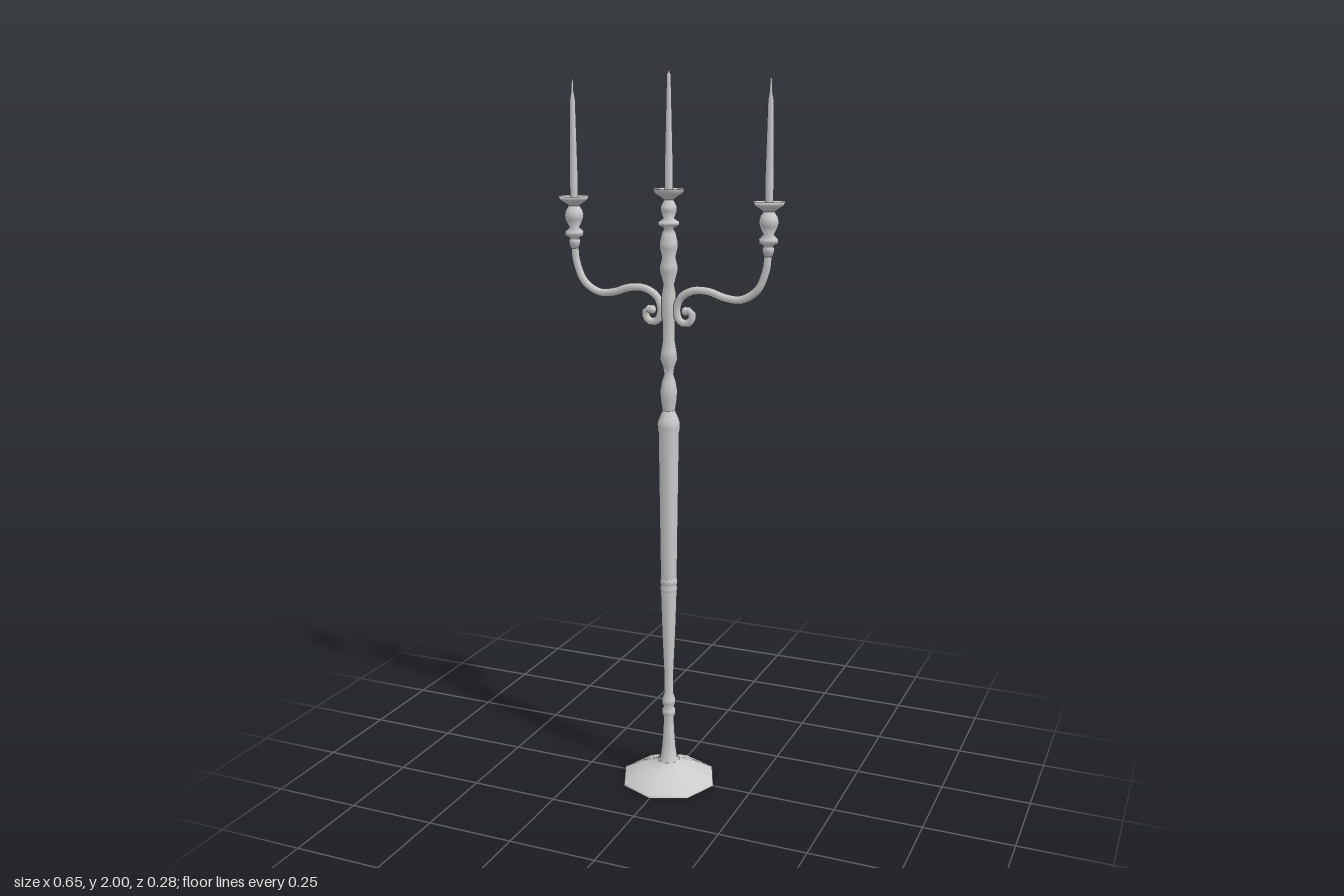
import * as THREE from 'three';

export function createModel() {
  const root = new THREE.Group();
  const material = new THREE.MeshStandardMaterial({ color: 0xcccccc, side: THREE.DoubleSide });

  const add = (parent, name, geometry) => {
    const mesh = new THREE.Mesh(geometry, material);
    mesh.name = name;
    parent.add(mesh);
    return mesh;
  };
  // Eight-sided turned part from [radius, height] pairs, bottom to top
  const turned = (parent, name, points) =>
    add(parent, name, new THREE.LatheGeometry(points.map(([r, y]) => new THREE.Vector2(r, y)), 8));

  // Foot: flat underside, shallow rim and dome
  turned(root, 'footUnderside', [[0, 0], [0.14, 0]]);
  turned(root, 'foot', [[0.14, 0], [0.138, 0.008], [0.095, 0.03], [0.06, 0.044], [0.036, 0.054], [0.032, 0.06]]);

  // Lower stem with two small rings
  turned(root, 'lowerStem', [
    [0.036, 0.054], [0.027, 0.066], [0.022, 0.1], [0.018, 0.15], [0.016, 0.195],
    [0.021, 0.205], [0.021, 0.215], [0.015, 0.225], [0.021, 0.238], [0.021, 0.248],
    [0.015, 0.265], [0.015, 0.33], [0.021, 0.46], [0.025, 0.58],
  ]);
  turned(root, 'stemRing', [[0.025, 0.58], [0.027, 0.587], [0.023, 0.594], [0.027, 0.602], [0.027, 0.61], [0.025, 0.617]]);
  turned(root, 'mainShaft', [[0.025, 0.617], [0.031, 1.04], [0.034, 1.052], [0.034, 1.066], [0.028, 1.08], [0.019, 1.1]]);

  // Upper stem with turned bulbs
  turned(root, 'upperStem', [
    [0.019, 1.1], [0.024, 1.13], [0.026, 1.155], [0.021, 1.18], [0.014, 1.2], [0.017, 1.22],
    [0.026, 1.243], [0.024, 1.26], [0.018, 1.295], [0.018, 1.34], [0.021, 1.36], [0.021, 1.42], [0.016, 1.445],
    [0.026, 1.48], [0.026, 1.495], [0.02, 1.518], [0.026, 1.54], [0.027, 1.555], [0.021, 1.58],
    [0.014, 1.594], [0.031, 1.602], [0.031, 1.61], [0.016, 1.62], [0.024, 1.64], [0.024, 1.65],
    [0.014, 1.668],
  ]);
  turned(root, 'centreCup', [
    [0.014, 1.668], [0.026, 1.677], [0.04, 1.685], [0.046, 1.697], [0.042, 1.697], [0.03, 1.687], [0, 1.685],
  ]);
  turned(root, 'centreCandle', [[0.012, 1.685], [0.0125, 1.74], [0.007, 1.955], [0.006, 1.988], [0, 2]]);

  // Scrolled arm path, from the holder down and in to the curl
  const path = new THREE.CatmullRomCurve3([
    [0.279, 1.545], [0.274, 1.495], [0.25, 1.44], [0.205, 1.413], [0.16, 1.416], [0.115, 1.43],
    [0.07, 1.43], [0.035, 1.41], [0.023, 1.376], [0.032, 1.347], [0.052, 1.341],
    [0.067, 1.355], [0.064, 1.375], [0.049, 1.374],
  ].map(([x, y]) => new THREE.Vector3(x, y, 0)));

  for (const side of [1, -1]) {
    const branch = new THREE.Group();
    branch.name = side > 0 ? 'leftBranch' : 'rightBranch';
    branch.rotation.y = side > 0 ? 0 : Math.PI;
    root.add(branch);
    add(branch, 'arm', new THREE.TubeGeometry(path, 44, 0.0115, 8));
    const curl = add(branch, 'curlEnd', new THREE.SphereGeometry(0.013, 8, 6));
    curl.position.set(0.049, 1.374, 0);

    // Candle holder and tapered candle at the arm end
    const holder = new THREE.Group();
    holder.name = 'candleHolder';
    holder.position.x = 0.279;
    branch.add(holder);
    turned(holder, 'socket', [
      [0, 1.53], [0.012, 1.53], [0.017, 1.545], [0.017, 1.552], [0.013, 1.557], [0.027, 1.565], [0.027, 1.575],
      [0.015, 1.587], [0.026, 1.608], [0.028, 1.62], [0.025, 1.632], [0.016, 1.645],
    ]);
    turned(holder, 'cup', [[0.016, 1.645], [0.026, 1.652], [0.04, 1.661], [0.045, 1.671], [0.03, 1.664], [0, 1.662]]);
    turned(holder, 'candle', [[0.011, 1.662], [0.0125, 1.72], [0.008, 1.925], [0.004, 1.945], [0.003, 1.975], [0, 1.98]]);
  }
  return root;
}
